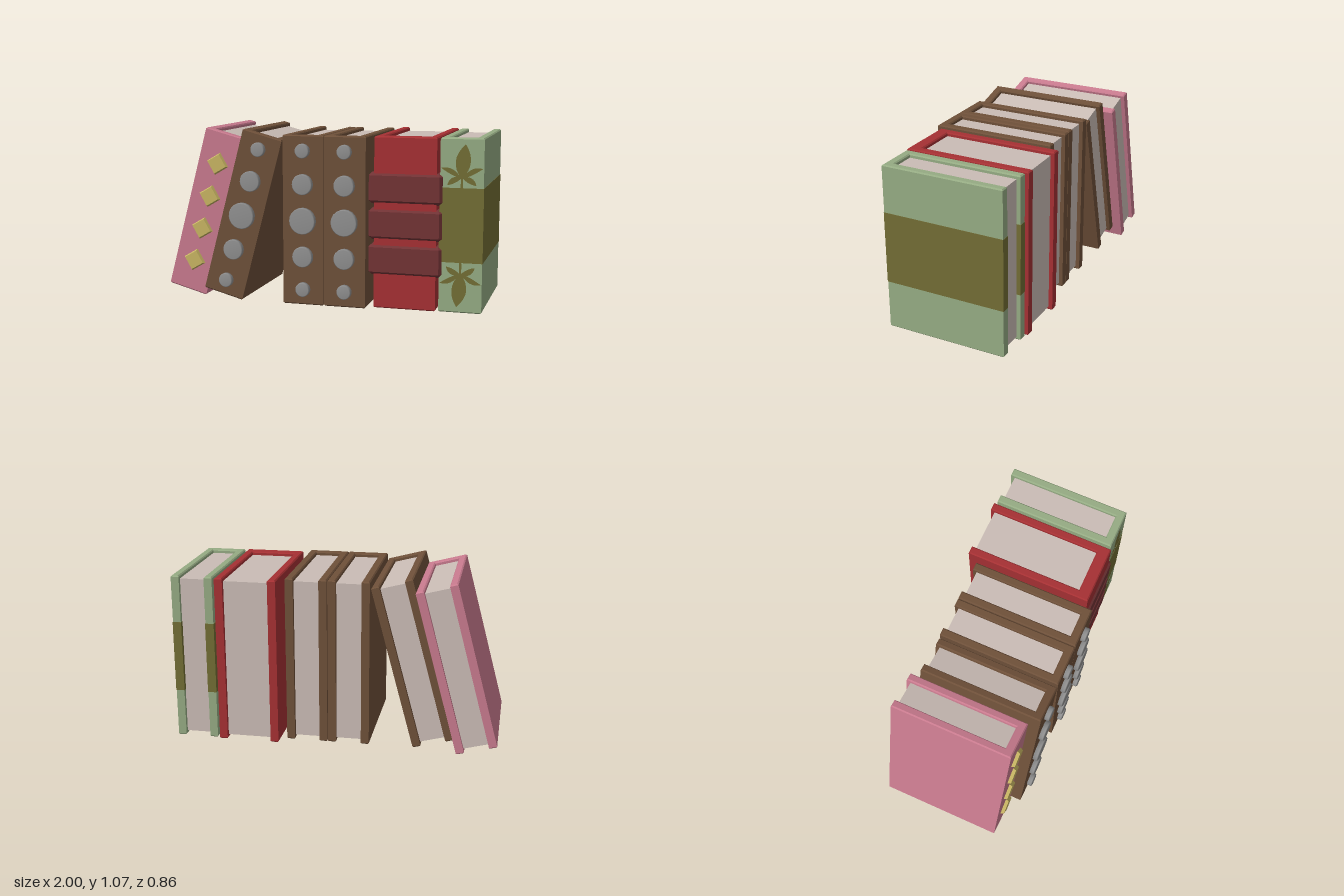
import * as THREE from 'three';

const mat = (name, color) => {
  const m = new THREE.MeshStandardMaterial({ color });
  m.name = name;
  return m;
};
const H = 1.036; // height of every book

export function createModel() {
  const pink = mat('pink cover', 0xc87a8e);
  const brown = mat('brown leather', 0x6e5039);
  const red = mat('red cover', 0xa53033);
  const maroon = mat('maroon bands', 0x723335);
  const green = mat('green cover', 0x95ab83);
  const olive = mat('olive decoration', 0x726d34);
  const gold = mat('gold studs', 0xc8b563);
  const grey = mat('grey studs', 0x909090);
  const paper = mat('paper', 0xcabcb5);

  const add = (parent, name, geometry, material, x = 0, y = 0, z = 0) => {
    const mesh = new THREE.Mesh(geometry, material);
    mesh.name = name;
    mesh.position.set(x, y, z);
    parent.add(mesh);
    return mesh;
  };

  // Upright prism from an [x, z] outline, centred on y = 0, with chamfered ends
  const prism = (points, height, bevel) => {
    const shape = new THREE.Shape(points.map(([x, z]) => new THREE.Vector2(x, -z)));
    const g = new THREE.ExtrudeGeometry(shape, {
      depth: height - 2 * bevel, bevelEnabled: bevel > 0, bevelSegments: 1,
      bevelSize: bevel, bevelThickness: bevel, bevelOffset: -bevel,
    });
    g.translate(0, 0, -(height - 2 * bevel) / 2);
    return g.rotateX(-Math.PI / 2);
  };

  // U outline of a cover; grow pushes the outer faces outwards
  const coverOutline = (w, front, back, spine, grow = 0) => {
    const a = w / 2 + grow, b = w / 2 - 0.05 - grow;
    return [[-a, back - grow], [-a, front + grow], [a, front + grow], [a, back - grow],
      [b, back - grow], [b, front - spine], [-b, front - spine], [-b, back - grow]];
  };

  const model = new THREE.Group();
  model.name = 'bookRow';

  const book = (name, material, x, w, front, back, spine = 0.053, lean = 0) => {
    const g = new THREE.Group();
    g.name = name;
    g.position.set(x, lean ? 0.5335 : H / 2, 0);
    g.rotation.z = -lean;
    add(g, 'cover', prism(coverOutline(w, front, back, spine), H, 0.007), material);
    const inner = front - spine + 0.005, outer = back + 0.025;
    add(g, 'pages', new THREE.BoxGeometry(w - 0.094, H - 0.044, inner - outer), paper,
      0, 0, (inner + outer) / 2);
    model.add(g);
    return g;
  };

  // Pink leaning book with diamond studs
  const LEAN = 0.262;
  const pinkBook = book('pinkBook', pink, -0.743, 0.254, 0.335, -0.42, 0.053, LEAN);
  for (const y of [-0.318, -0.106, 0.106, 0.318]) {
    const stud = new THREE.CylinderGeometry(0.062, 0.074, 0.024, 4).toNonIndexed();
    stud.computeVertexNormals();
    add(pinkBook, 'diamondStud', stud.rotateX(Math.PI / 2), gold, 0, y, 0.343);
  }

  // Brown books with round studs
  const rivets = [[-0.422, 0.044], [-0.22, 0.063], [0, 0.081], [0.222, 0.063], [0.424, 0.044]];
  for (const [name, x, lean] of [['leaningBrownBook', -0.474, LEAN],
    ['leftBrownBook', -0.083, 0], ['rightBrownBook', 0.177, 0]]) {
    const b = book(name, brown, x, 0.256, 0.402, -0.36, 0.053, lean);
    for (const [y, r] of rivets) {
      const profile = [[0, -0.02], [r, -0.02], [r, 0.012], [r - 0.006, 0.018], [0, 0.018]];
      const g = new THREE.LatheGeometry(profile.map(p => new THREE.Vector2(...p)), 20);
      add(b, 'roundStud', g.rotateX(Math.PI / 2), grey, 0, y, 0.416);
    }
  }

  // Red book with three raised bands around the spine
  const redBook = book('redBook', red, 0.533, 0.376, 0.355, -0.43, 0.075);
  const band = [[-0.222, 0.18], [-0.222, 0.35], [-0.207, 0.367],
    [0.207, 0.367], [0.222, 0.35], [0.222, 0.18],
    [0.16, 0.18], [0.16, 0.3], [-0.16, 0.3], [-0.16, 0.18]];
  for (const y of [-0.221, -0.005, 0.211])
    add(redBook, 'spineBand', prism(band, 0.188, 0.019), maroon, 0, y);

  // Green book with a wide stripe and leaf sprigs
  const greenBook = book('greenBook', green, 0.867, 0.256, 0.346, -0.415);
  add(greenBook, 'stripe',
    prism(coverOutline(0.256, 0.346, -0.415, 0.053, 0.002), 0.443, 0), olive, 0, 0.005);

  // One leaf: base, bulge, tip, bulge
  const leaf = (bx, by, c1x, c1y, tx, ty, c2x, c2y) => {
    const s = new THREE.Shape();
    s.moveTo(bx, by);
    s.quadraticCurveTo(c1x, c1y, tx, ty);
    s.quadraticCurveTo(c2x, c2y, bx, by);
    return s;
  };
  const sprig = [
    leaf(0, 0.03, 0.09, 0.13, 0.02, 0.235, -0.085, 0.14),
    leaf(0, 0.03, -0.05, 0.115, -0.122, 0.095, -0.075, 0.06),
    leaf(0, 0.03, 0.075, 0.06, 0.122, 0.095, 0.05, 0.115),
    leaf(0, 0.04, -0.07, 0.06, -0.085, -0.005, -0.04, 0.0),
    leaf(0, 0.04, 0.04, 0.0, 0.085, -0.005, 0.07, 0.06),
    new THREE.Shape([[-0.007, -0.03], [0.007, -0.03], [0.005, 0.06], [-0.005, 0.06]]
      .map(p => new THREE.Vector2(...p))),
  ];
  for (const turn of [0, Math.PI]) {
    const g = new THREE.ShapeGeometry(sprig, 8);
    g.translate(0, 0.247, 0).rotateZ(turn);
    add(greenBook, 'leafSprig', g, olive, 0, 0, 0.349);
  }

  return model;
}
